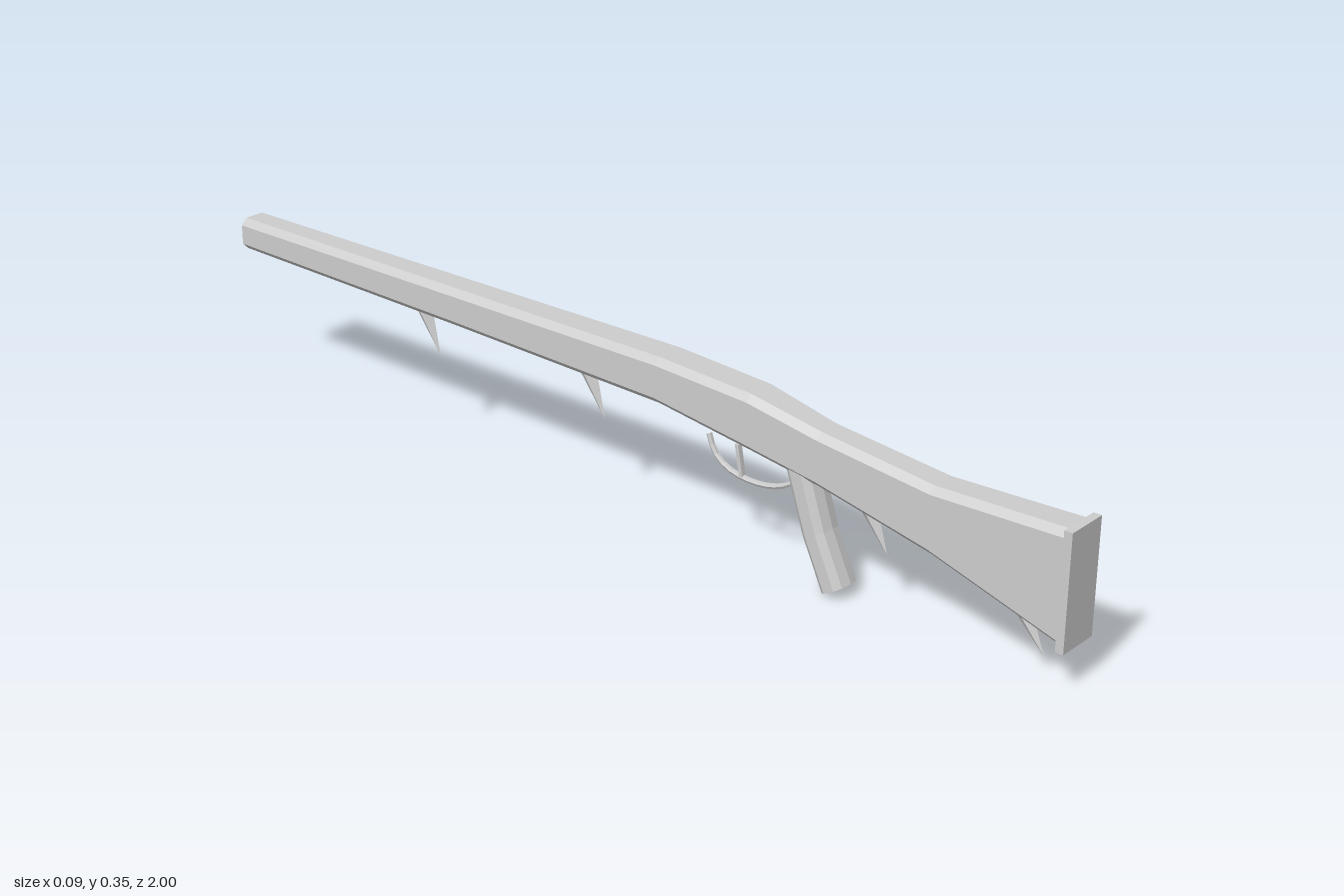
import * as THREE from 'three';

const steel = new THREE.MeshStandardMaterial({ color: 0xcccccc, flatShading: true });
steel.name = 'plain grey';

// Skin a list of equal-length rings of points, closing both ends.
function loft(rings) {
  const pos = [];
  const n = rings[0].length;
  const tri = (a, b, c) => pos.push(...a, ...b, ...c);
  for (let i = 0; i < rings.length - 1; i++) {
    for (let j = 0; j < n; j++) {
      const k = (j + 1) % n;
      const a = rings[i][j], b = rings[i][k], c = rings[i + 1][k], d = rings[i + 1][j];
      tri(a, b, c);
      tri(a, c, d);
    }
  }
  const first = rings[0], last = rings[rings.length - 1];
  for (let j = 1; j < n - 1; j++) {
    tri(first[0], first[j + 1], first[j]);
    tri(last[0], last[j], last[j + 1]);
  }
  const g = new THREE.BufferGeometry();
  g.setAttribute('position', new THREE.Float32BufferAttribute(pos, 3));
  g.computeVertexNormals();
  return g;
}

export function createModel() {
  const model = new THREE.Group();
  model.name = 'longGun';
  const add = (name, geometry) => {
    const mesh = new THREE.Mesh(geometry, steel);
    mesh.name = name;
    model.add(mesh);
    return mesh;
  };

  // Stock and barrel: chamfered sections [z, top, bottom, half width]
  const sections = [
    [-1, 0.347, 0.281, 0.034],
    [-0.4, 0.352, 0.275, 0.038],
    [0.12, 0.356, 0.266, 0.042],
    [0.33, 0.345, 0.237, 0.041],
    [0.48, 0.316, 0.211, 0.035],
    [0.72, 0.291, 0.163, 0.037],
    [0.985, 0.3, 0.085, 0.039],
  ];
  add('stockAndBarrel', loft(sections.map(([z, t, b, w]) => {
    const c = 0.013;
    return [
      [w, b + c, z], [w, t - c, z], [w - c, t, z], [c - w, t, z],
      [-w, t - c, z], [-w, b + c, z], [c - w, b, z], [w - c, b, z],
    ];
  }).map((ring) => ring.reverse()).map((ring) => ring.reverse())));

  // Flat plate on the rear of the stock
  add('buttPlate', new THREE.BoxGeometry(0.087, 0.223, 0.016)).position.set(0, 0.1915, 0.992);

  // Curved grip: [z, y, direction of the section's depth]
  const outline = [[0.031, -0.012], [0.031, 0.012], [0.021, 0.025], [0, 0.029],
    [-0.021, 0.025], [-0.031, 0.012], [-0.031, -0.012], [-0.021, -0.025], [0, -0.029], [0.021, -0.025]];
  const grip = [[0.514, 0.018, 0.5], [0.469, 0.115, 0.38], [0.429, 0.235, 0.28]];
  add('grip', loft(grip.map(([z, y, a]) =>
    outline.map(([x, d]) => [x, y + d * Math.sin(a), z + d * Math.cos(a)]).reverse())));

  // Trigger guard and trigger
  const guard = new THREE.CatmullRomCurve3([[0.42, 0.2], [0.4, 0.182], [0.36, 0.165], [0.31, 0.16],
    [0.26, 0.169], [0.228, 0.192], [0.214, 0.225]].map(([z, y]) => new THREE.Vector3(0, y, z)));
  add('triggerGuard', new THREE.TubeGeometry(guard, 12, 0.0055, 6));
  add('trigger', loft([[0.292, 0.163], [0.287, 0.19], [0.281, 0.224]].map(([z, y]) =>
    [[0.005, y, z - 0.004], [-0.005, y, z - 0.004], [-0.005, y, z + 0.004], [0.005, y, z + 0.004]])));

  // Four slanted spikes: [tip z, tip y, base z, base y]
  const spikes = [
    [0.937, 0.038, 0.878, 0.125],
    [0.613, 0.115, 0.56, 0.205],
    [-0.037, 0.178, -0.085, 0.275],
    [-0.467, 0.185, -0.513, 0.281],
  ];
  spikes.forEach(([tz, ty, bz, by], i) => {
    const ring = (z, y, s) => [[0.014 * s, y, z], [0, y, z - 0.027 * s], [-0.014 * s, y, z], [0, y, z + 0.027 * s]];
    add('spike' + (i + 1), loft([ring(tz, ty, 0.02), ring(bz, by, 1)]));
  });

  return model;
}
